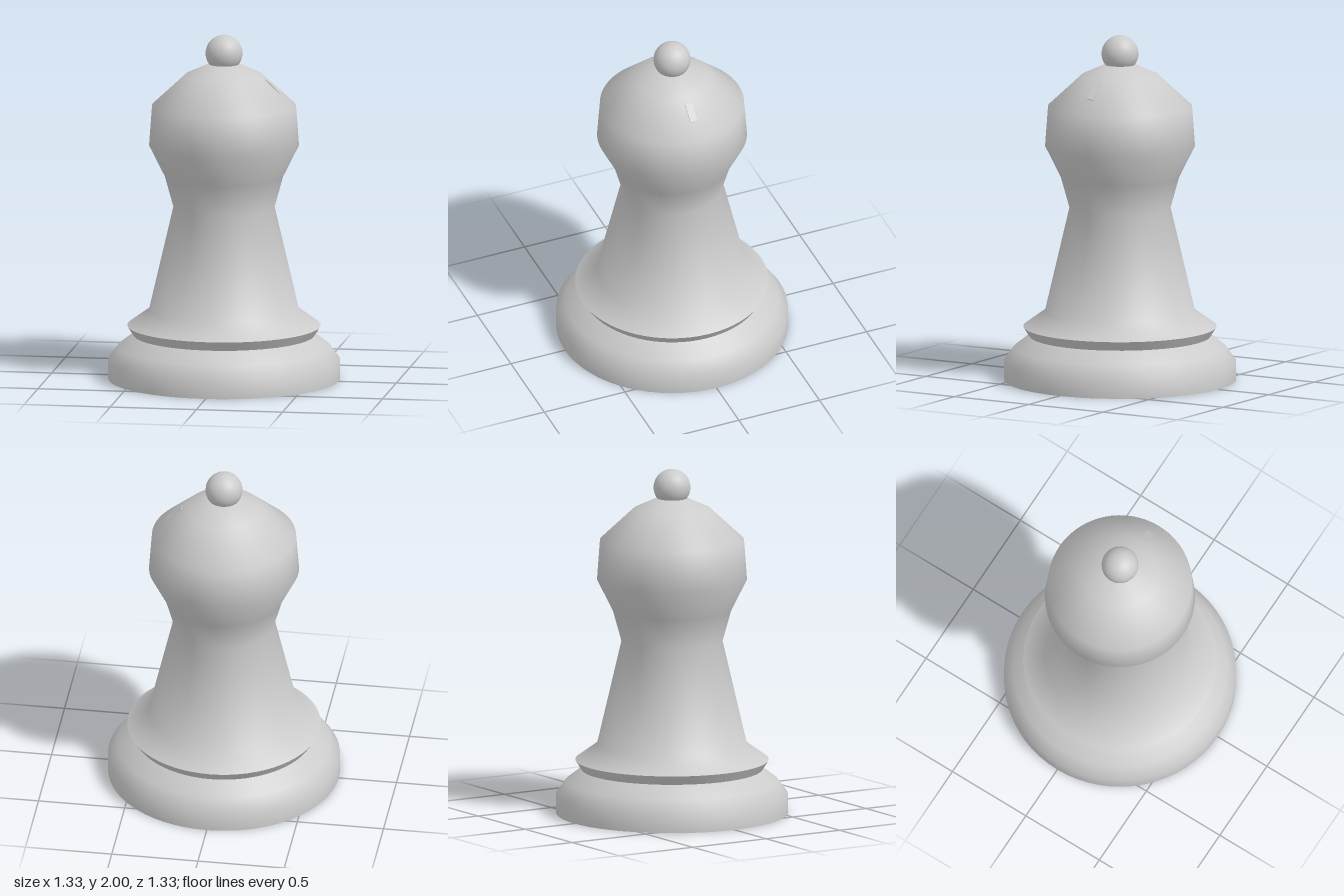
import * as THREE from 'three';
import { toCreasedNormals } from 'three/addons/utils/BufferGeometryUtils.js';

export function createModel() {
  const group = new THREE.Group();
  const material = new THREE.MeshStandardMaterial({ color: 0xcccccc });

  function add(name, geometry) {
    const mesh = new THREE.Mesh(geometry, material);
    mesh.name = name;
    group.add(mesh);
    return mesh;
  }

  // Turned body: base, collar, stem and head in one profile, bottom to top
  const profile = [
    [0, 0], [0.665, 0], [0.665, 0.11], [0.61, 0.185], [0.52, 0.255], // base
    [0.555, 0.31], [0.43, 0.4],                                      // collar
    [0.29, 1.0], [0.34, 1.18],                                       // stem and neck
    [0.43, 1.36], [0.413, 1.59], [0.22, 1.77], [0.085, 1.832], [0, 1.832], // head
  ].map(([r, y]) => new THREE.Vector2(r, y));
  add('body', toCreasedNormals(new THREE.LatheGeometry(profile, 64), Math.PI / 3));

  // Ball finial
  add('finial', new THREE.SphereGeometry(0.106, 32, 20)).position.y = 1.894;

  // Small notch marker lying along the sloping left shoulder of the head
  const notch = add('notch', new THREE.BoxGeometry(0.113, 0.02, 0.042));
  notch.position.set(0.281, 1.706, 0);
  notch.rotation.z = -Math.atan2(0.18, 0.193);

  return group;
}
